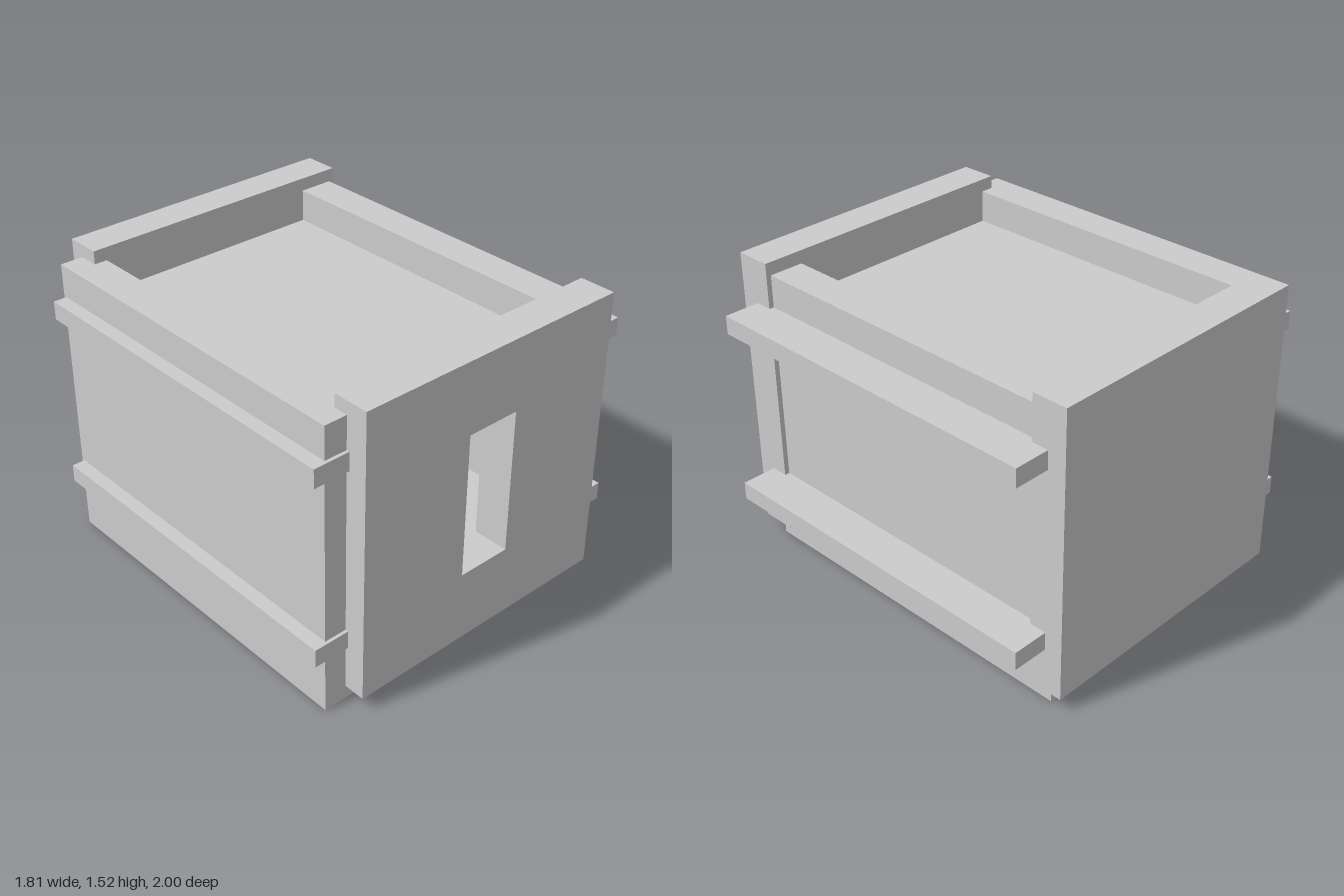
import * as THREE from 'three';

export function createModel() {
  const model = new THREE.Group();
  const material = new THREE.MeshStandardMaterial({ color: 0xcccccc, flatShading: true });

  // Box given by its extents on each axis
  function board(name, [x0, x1], [y0, y1], [z0, z1]) {
    const mesh = new THREE.Mesh(new THREE.BoxGeometry(x1 - x0, y1 - y0, z1 - z0), material);
    mesh.position.set((x0 + x1) / 2, (y0 + y1) / 2, (z0 + z1) / 2);
    mesh.name = name;
    model.add(mesh);
  }

  // Closed rectangular outline
  function rectangle(Type, x0, x1, y0, y1) {
    const path = new Type();
    path.moveTo(x0, y0);
    path.lineTo(x1, y0);
    path.lineTo(x1, y1);
    path.lineTo(x0, y1);
    path.closePath();
    return path;
  }

  // Front panel with an upright slot cut through it
  const outline = rectangle(THREE.Shape, -0.725, 0.725, 0.07, 1.52);
  outline.holes.push(rectangle(THREE.Path, -0.14, 0.137, 0.43, 1.16));
  const front = new THREE.Mesh(
    new THREE.ExtrudeGeometry(outline, { depth: 0.182, bevelEnabled: false }), material);
  front.position.z = 0.818;
  front.name = 'frontPanel';
  model.add(front);

  // Solid back panel
  board('backPanel', [-0.725, 0.725], [0.07, 1.52], [-1, -0.822]);

  // Side panels, both shifted towards the right
  board('rightSidePanel', [-0.84, -0.66], [0, 1.455], [-0.925, 0.89]);
  board('leftSidePanel', [0.523, 0.70], [0, 1.455], [-0.925, 0.89]);

  // Horizontal boards that run through the sides and stick out as rails
  board('bottomBoard', [-0.908, 0.905], [0.295, 0.386], [-0.908, 0.906]);
  board('topBoard', [-0.908, 0.905], [1.202, 1.294], [-0.908, 0.906]);

  return model;
}
